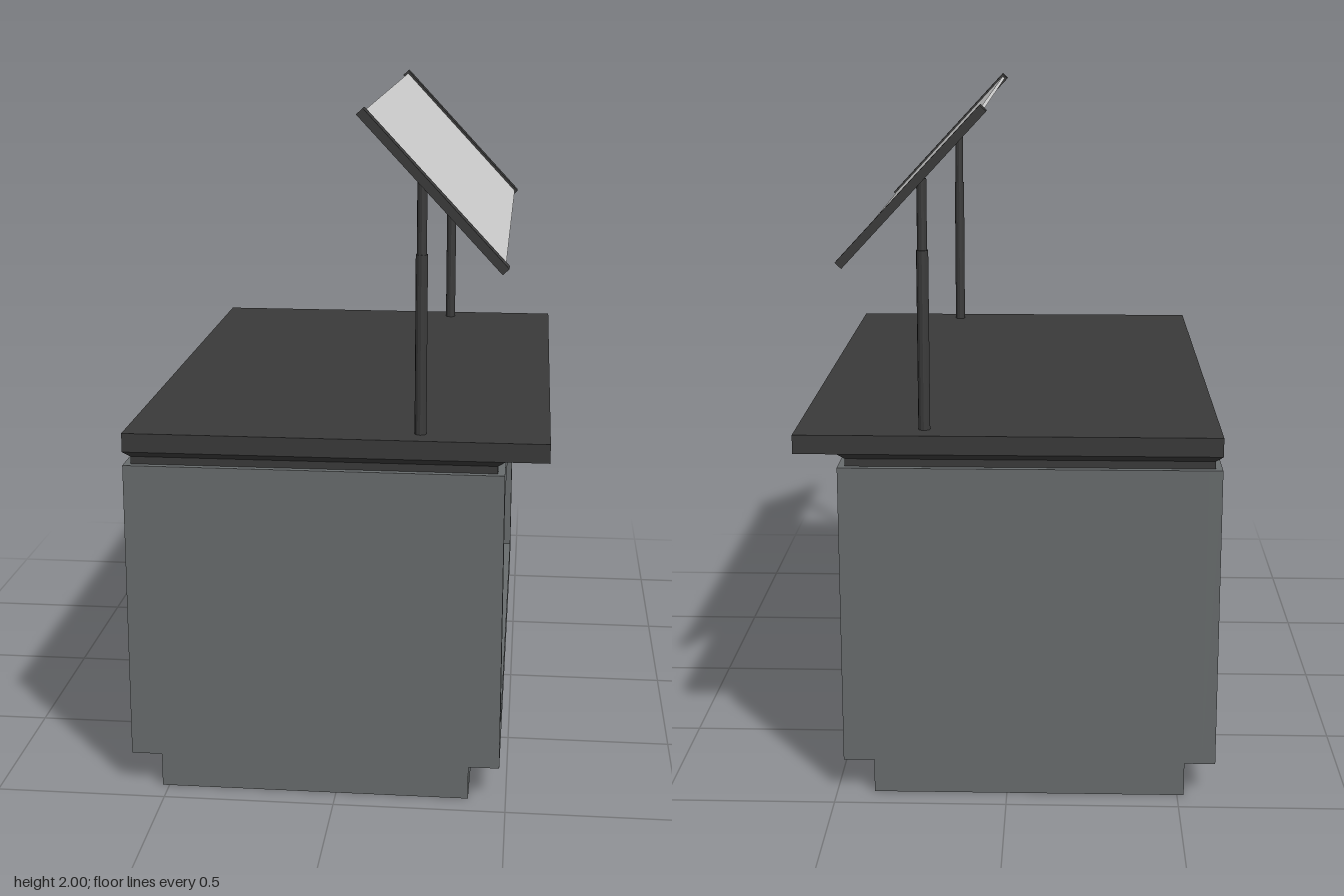
import * as THREE from 'three';

const paint = (color) => new THREE.MeshStandardMaterial({ color, flatShading: true });

export function createModel() {
  const group = new THREE.Group();
  const slate = paint(0x686c6d);
  const dark = paint(0x3a3a3a);
  const pale = paint(0xcccccc);

  const add = (name, geometry, material, parent = group) => {
    const mesh = new THREE.Mesh(geometry, material);
    mesh.name = name;
    parent.add(mesh);
    return mesh;
  };
  // Box given by its x and y limits and its length along z
  const block = (name, x0, x1, y0, y1, depth, material) => {
    const mesh = add(name, new THREE.BoxGeometry(x1 - x0, y1 - y0, depth), material);
    mesh.position.set((x0 + x1) / 2, (y0 + y1) / 2, 0);
    return mesh;
  };

  const left = -0.61, right = 0.48, length = 1.85, recess = 0.04;

  // Cabinet: plinth, core and a framed recess on each long side
  block('plinth', -0.52, 0.39, 0, 0.1, length, slate);
  block('cabinetCore', left + recess, right - recess, 0.1, 0.99, length, slate);

  const outline = new THREE.Shape([
    [-length / 2, 0.1], [length / 2, 0.1], [length / 2, 0.99], [-length / 2, 0.99],
  ].map(([x, y]) => new THREE.Vector2(x, y)));
  outline.holes.push(new THREE.Path([
    [-0.835, 0.19], [-0.835, 0.9], [0.835, 0.9], [0.835, 0.19],
  ].map(([x, y]) => new THREE.Vector2(x, y))));
  const frame = new THREE.ExtrudeGeometry(outline, { depth: recess, bevelEnabled: false });
  frame.rotateY(Math.PI / 2);
  for (const [x, panelX] of [[left, left + recess], [right - recess, right - recess]]) {
    add('sideFrame', frame, slate).position.x = x;
    const panel = add('recessedPanel', new THREE.BoxGeometry(0.006, 0.71, 1.67), dark);
    panel.position.set(panelX, 0.545, 0);
  }

  // Neck under the counter, flaring out to meet it
  block('neck', -0.59, 0.46, 0.99, 1.012, 1.81, dark);
  const flare = block('neckFlare', left, right, 1.012, 1.03, length, dark);
  const p = flare.geometry.attributes.position;
  for (let i = 0; i < p.count; i++) {
    if (p.getY(i) < 0) {
      p.setX(i, p.getX(i) - Math.sign(p.getX(i)) * 0.02);
      p.setZ(i, p.getZ(i) - Math.sign(p.getZ(i)) * 0.02);
    }
  }
  flare.geometry.computeVertexNormals();

  // Counter top overhanging on one side
  block('counterTop', left, 0.605, 1.03, 1.085, length, dark);

  // Tilted screen with an end rail at each side
  const screen = new THREE.Group();
  screen.name = 'tiltedScreen';
  screen.position.set(0.268, 1.775, 0);
  screen.rotation.z = -THREE.MathUtils.degToRad(47);
  group.add(screen);
  add('screenPane', new THREE.BoxGeometry(0.58, 0.01, 1.64), pale, screen);

  // End rails and their two-stage posts
  for (const side of [-1, 1]) {
    add('endRail', new THREE.BoxGeometry(0.595, 0.025, 0.053), dark, screen)
      .position.z = side * 0.84;
    for (const [name, radius, y0, y1] of [
      ['lowerPost', 0.017, 1.08, 1.6], ['upperPost', 0.014, 1.6, 1.8],
    ]) {
      add(name, new THREE.CylinderGeometry(radius, radius, y1 - y0, 12), dark)
        .position.set(0.237, (y0 + y1) / 2, side * 0.845);
    }
  }

  return group;
}
